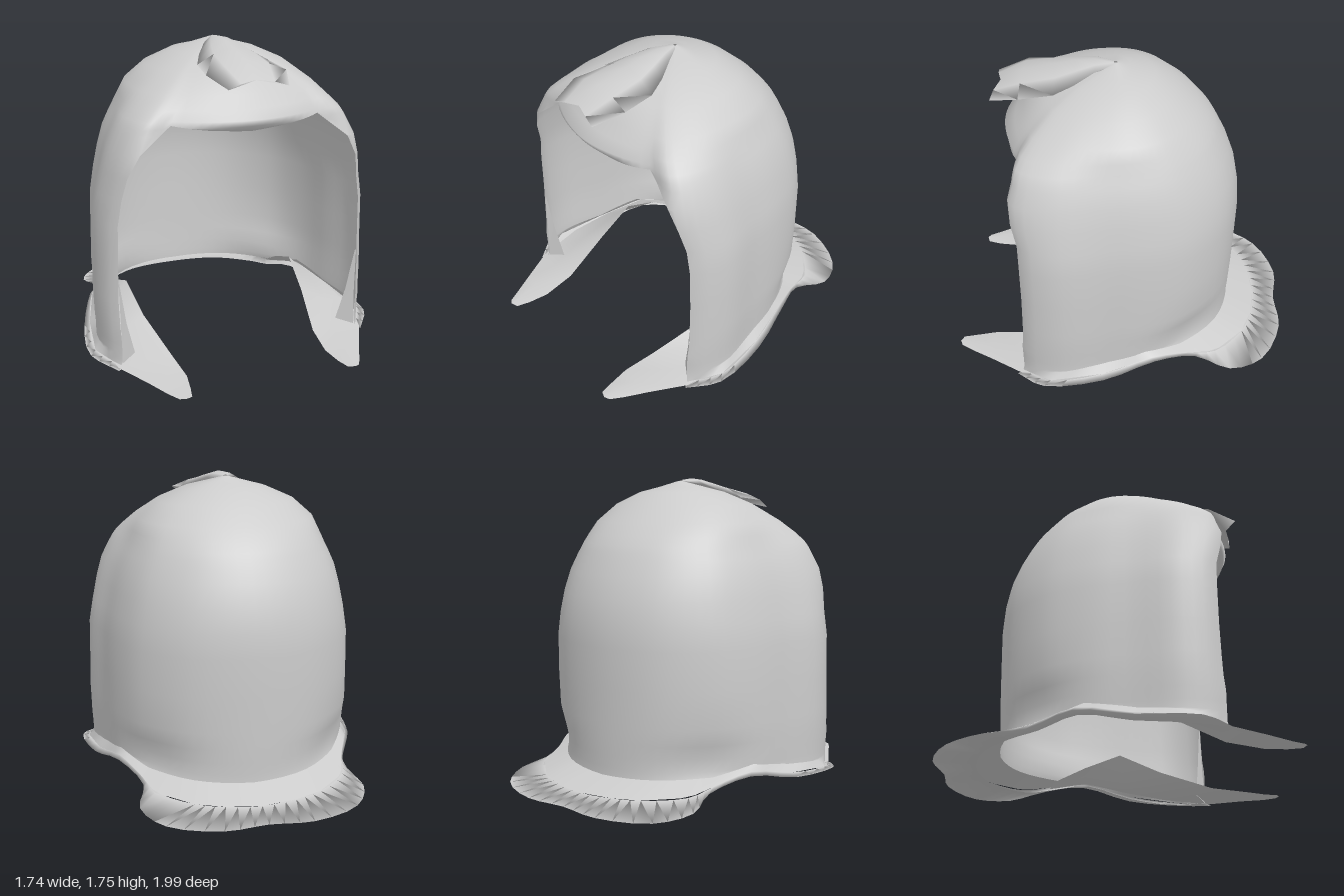
import * as THREE from 'three';

const V = (x, y, z) => new THREE.Vector3(x, y, z);
const flipX = (p) => V(-p.x, p.y, p.z);

// Height, half width, front z and back z of the dome.
const profile = [
  [1.735, 0.01, 0.06, 0.04], [1.70, 0.14, 0.19, -0.04], [1.67, 0.25, 0.31, -0.17],
  [1.60, 0.41, 0.47, -0.29], [1.50, 0.54, 0.57, -0.41], [1.43, 0.59, 0.60, -0.475],
  [1.38, 0.625, 0.61, -0.515], [1.345, 0.645, 0.615, -0.535], [1.31, 0.665, 0.62, -0.555],
  [1.22, 0.71, 0.645, -0.60], [1.10, 0.745, 0.64, -0.645], [0.97, 0.775, 0.605, -0.67],
  [0.83, 0.80, 0.60, -0.68], [0.60, 0.805, 0.60, -0.675], [0.40, 0.81, 0.605, -0.67],
  [0.30, 0.807, 0.61, -0.667], [0.22, 0.805, 0.62, -0.665], [0.15, 0.80, 0.62, -0.66],
  [0.10, 0.80, 0.62, -0.66], [0.05, 0.80, 0.62, -0.66],
];

// Unit cross-section, from the front centre round the left side to the back.
const half = [[0, 1], [0.35, 0.97], [0.67, 0.92], [0.9, 0.9], [1, 0.55], [0.94, 0.1],
  [0.87, -0.3], [0.73, -0.62], [0.42, -0.9], [0, -1]];
const ring = half.map(([x, z]) => V(x, 0, z));
ring.push(...ring.slice(1, 9).reverse().map(flipX));
const section = new THREE.CatmullRomCurve3(ring, true);

// Linear lookup in rows of [key, values...], keys rising.
function lookup(rows, key) {
  let i = 0;
  while (i < rows.length - 2 && key > rows[i + 1][0]) i++;
  const a = rows[i], b = rows[i + 1];
  const t = THREE.MathUtils.clamp((key - a[0]) / (b[0] - a[0]), 0, 1);
  return a.slice(1).map((v, k) => v + (b[k + 1] - v) * t);
}
const rising = [...profile].reverse();
const browEdge = [[0, 1.31], [1, 1.33], [2, 1.36], [2.75, 1.22], [3, 1.1]];
const hemEdge = [[3, 0.05], [4, 0.09], [5, 0.12], [6, 0.17], [7, 0.12], [9, 0.1]];

// Skirt line where the dome flares out: section position, x, y, z.
const skirt = [
  [3, 0.73, 0.02, 0.57], [4, 0.83, 0.05, 0.39], [5, 0.79, 0.08, 0.09],
  [6, 0.70, 0.14, -0.2], [6.8, 0.60, 0.09, -0.42], [7.4, 0.55, 0.06, -0.58],
  [8, 0.36, 0.05, -0.75], [8.5, 0.2, 0.045, -0.81], [9, 0, 0.04, -0.835],
];

// Point on the dome at section position s (0 to 18), stopping at the lower edge.
function domePoint(s, y) {
  const h = Math.min(s, 18 - s);
  const yy = Math.max(y, lookup(h < 3 ? browEdge : hemEdge, h)[0]);
  const [w, f, b] = lookup(rising, yy);
  const p = section.getPoint((s % 18) / 18);
  // rounder towards the crown
  p.lerp(p.clone().normalize(), 0.85 * THREE.MathUtils.smoothstep(yy, 1.34, 1.62));
  // drawn in above the back corners of the hem
  p.multiplyScalar(1 - 0.07 * Math.exp(-((h - 7.1) ** 2) - ((yy - 0.2) / 0.14) ** 2));
  // the brow swells into a soft lip
  const lip = 0.075 * Math.exp(-(((yy - 1.375) / 0.05) ** 2)) * Math.max(0, 1 - (h / 2) ** 2);
  return V(p.x * w, yy, 0.05 + lip + (p.z > 0 ? p.z * (f - 0.05) : p.z * (0.05 - b)));
}

// Point on the skirt line; the open front keeps the brow edge.
function skirtPoint(s) {
  const h = Math.min(s, 18 - s);
  if (h < 3) return domePoint(s, 0);
  const [x, y, z] = lookup(skirt, h);
  return V(s > 9 ? -x : x, y, z);
}

// Smooth sheet through rows of points; closed joins the row ends.
function sheet(rows, closed = false, skip = () => false) {
  const n = rows[0].length, index = [];
  for (let i = 0; i < rows.length - 1; i++) {
    for (let j = 0; j < (closed ? n : n - 1); j++) {
      if (skip(i, j)) continue;
      const k = (j + 1) % n;
      const a = i * n + j, b = a + n, c = (i + 1) * n + k, d = i * n + k;
      index.push(a, b, d, b, c, d);
    }
  }
  const g = new THREE.BufferGeometry().setFromPoints(rows.flat());
  g.setIndex(index);
  g.computeVertexNormals();
  return g;
}

export function createModel() {
  const group = new THREE.Group();
  const grey = new THREE.MeshStandardMaterial({ color: 0xcccccc, side: THREE.DoubleSide });
  grey.name = 'plain grey';
  const add = (name, geometry) => {
    const m = new THREE.Mesh(geometry, grey);
    m.name = name;
    group.add(m);
  };

  // Dome flaring into its skirt, open at the front below the brow
  const cols = 72, step = 18 / cols;
  const around = Array.from({ length: cols }, (_, j) => j * step);
  const domeRows = profile.map(([y]) => around.map((s) => domePoint(s, y)));
  domeRows.push(around.map(skirtPoint));
  add('dome', sheet(domeRows, true, (i, j) => {
    const s = (j + 0.5) * step;
    return Math.min(s, 18 - s) < 3 && profile[i][0] <= 1.1;
  }));

  // Hem brim from the skirt out to the rim and back underneath
  const rim = [V(0.75, 0.01, 0.6), V(0.865, 0.04, 0.43), V(0.82, 0.06, 0.08),
    V(0.71, 0.12, -0.22), V(0.60, 0.06, -0.46), V(0.65, 0.02, -0.67),
    V(0.54, 0, -0.87), V(0.25, 0, -0.995), V(0, 0, -0.975)];
  const hemRow = (pts) => new THREE.CatmullRomCurve3(
    [...pts, ...pts.slice(0, -1).reverse().map(flipX)]).getPoints(48);
  const skirtPts = skirt.map(([, x, y, z]) => V(x, y, z));
  add('hemBrim', sheet([
    hemRow(skirtPts),
    hemRow(rim),
    hemRow(skirtPts.map((p) => V(p.x * 0.94, Math.max(p.y - 0.025, 0.01), p.z * 0.94))),
  ]));

  // Tongues at the front corners, running back inside the side hem,
  // with a folded curtain edge above each
  const tongue = [
    [V(0.60, 0.08, -0.42), V(0.56, 0.1, -0.4), V(0.5, 0.08, -0.42)],
    [V(0.69, 0.14, -0.2), V(0.62, 0.17, -0.2), V(0.55, 0.2, -0.2)],
    [V(0.76, 0.1, 0.05), V(0.66, 0.16, 0.04), V(0.54, 0.28, 0.02)],
    [V(0.79, 0.06, 0.3), V(0.67, 0.08, 0.3), V(0.51, 0.16, 0.27)],
    [V(0.75, 0.02, 0.58), V(0.6, 0.04, 0.6), V(0.44, 0.04, 0.58)],
    [V(0.64, 0.01, 0.78), V(0.54, 0.02, 0.8), V(0.42, 0.01, 0.78)],
    [V(0.57, 0, 0.91), V(0.51, 0.01, 0.92), V(0.44, 0, 0.9)],
    [V(0.53, 0, 0.98), V(0.5, 0.003, 0.995), V(0.46, 0, 0.98)],
  ];
  const fold = [
    [V(0.725, 0.5, 0.545), V(0.72, 0.5, 0.54)],
    [V(0.72, 0.25, 0.55), V(0.68, 0.25, 0.52)],
    [V(0.72, 0.02, 0.56), V(0.63, 0.05, 0.5)],
  ];
  for (const side of ['left', 'right']) {
    const place = (rows) => (side === 'left' ? rows.map((r) => [...r].reverse())
      : rows.map((r) => r.map(flipX)));
    add(side + 'Tongue', sheet(place(tongue)));
    add(side + 'CurtainFold', sheet(place(fold)));
  }

  // Forelock: z, half width, top height at centre, edge height, underside height, notch
  const lock = [
    [0.06, 0.02, 1.74, 1.73, 1.70, 0], [0.16, 0.09, 1.75, 1.715, 1.68, 0],
    [0.27, 0.16, 1.74, 1.67, 1.64, 0], [0.38, 0.21, 1.715, 1.635, 1.61, 0],
    [0.57, 0.23, 1.675, 1.615, 1.61, 0], [0.74, 0.17, 1.6, 1.565, 1.598, 0.04],
  ];
  add('forelock', sheet(lock.map(([z, w, top, edge, under, notch]) => [
    V(-w, edge, z), V(-w * 0.55, (top * 2 + edge) / 3, z - notch / 3), V(0, top, z - notch),
    V(w * 0.55, (top * 2 + edge) / 3, z - notch / 3), V(w, edge, z), V(0, under, z - notch),
  ]), true));

  return group;
}
